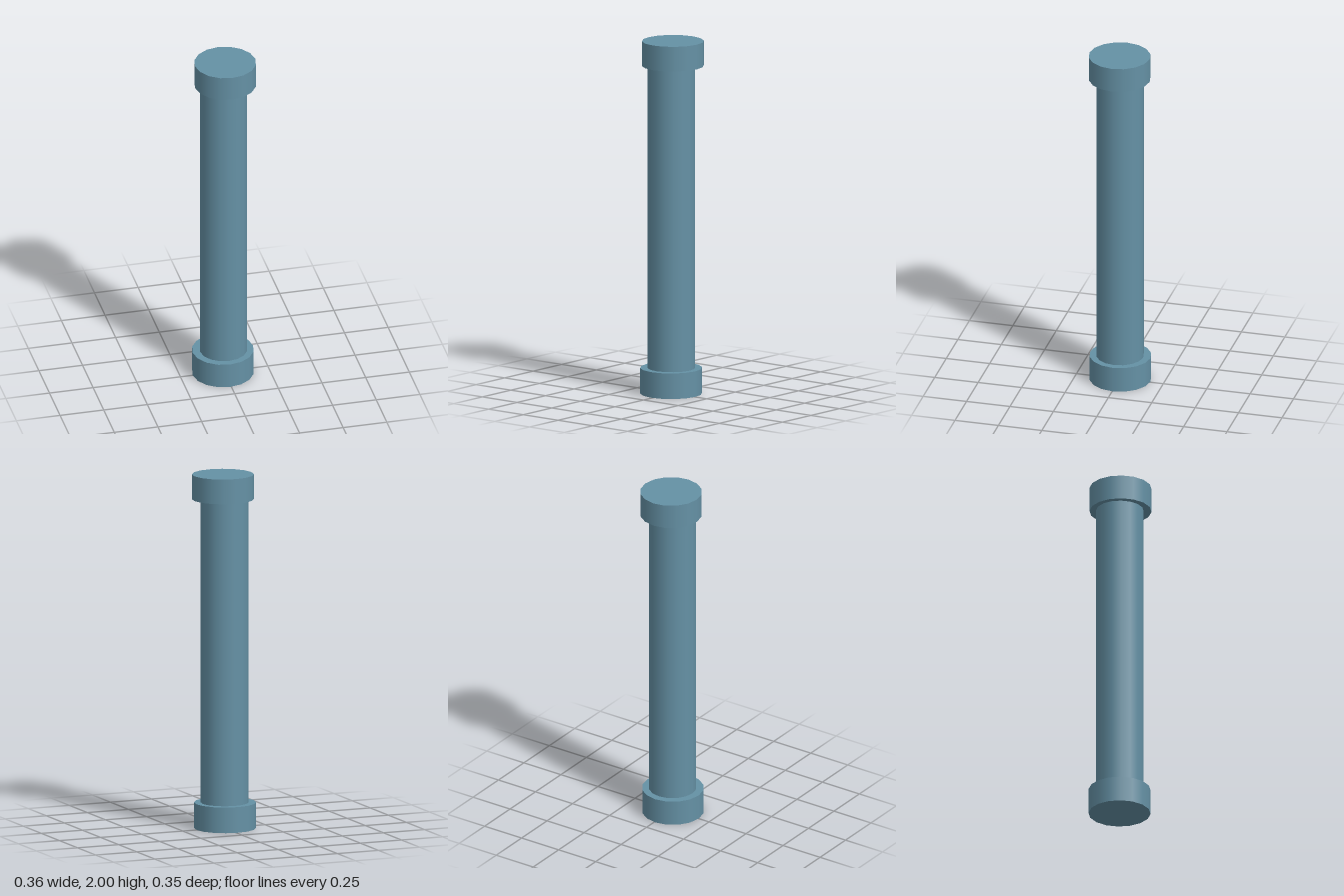
import * as THREE from 'three';

const SIDES = 16;

export function createModel() {
  const model = new THREE.Group();
  const material = new THREE.MeshStandardMaterial({ color: 0x6591a5 });

  // Upright cylinder from y0 to y1, slightly offset from the axis
  const addCylinder = (name, radius, y0, y1, x, z) => {
    const mesh = new THREE.Mesh(new THREE.CylinderGeometry(radius, radius, y1 - y0, SIDES), material);
    mesh.name = name;
    mesh.position.set(x, (y0 + y1) / 2, z);
    model.add(mesh);
  };

  // Long shaft, sunk into both end caps
  addCylinder('shaft', 0.133, 0.07, 1.93, -0.004, 0);

  // Wider end caps, a little out of line with each other
  addCylinder('bottomCap', 0.173, 0, 0.145, -0.007, -0.001);
  addCylinder('topCap', 0.173, 1.86, 2, 0.006, 0);

  return model;
}
